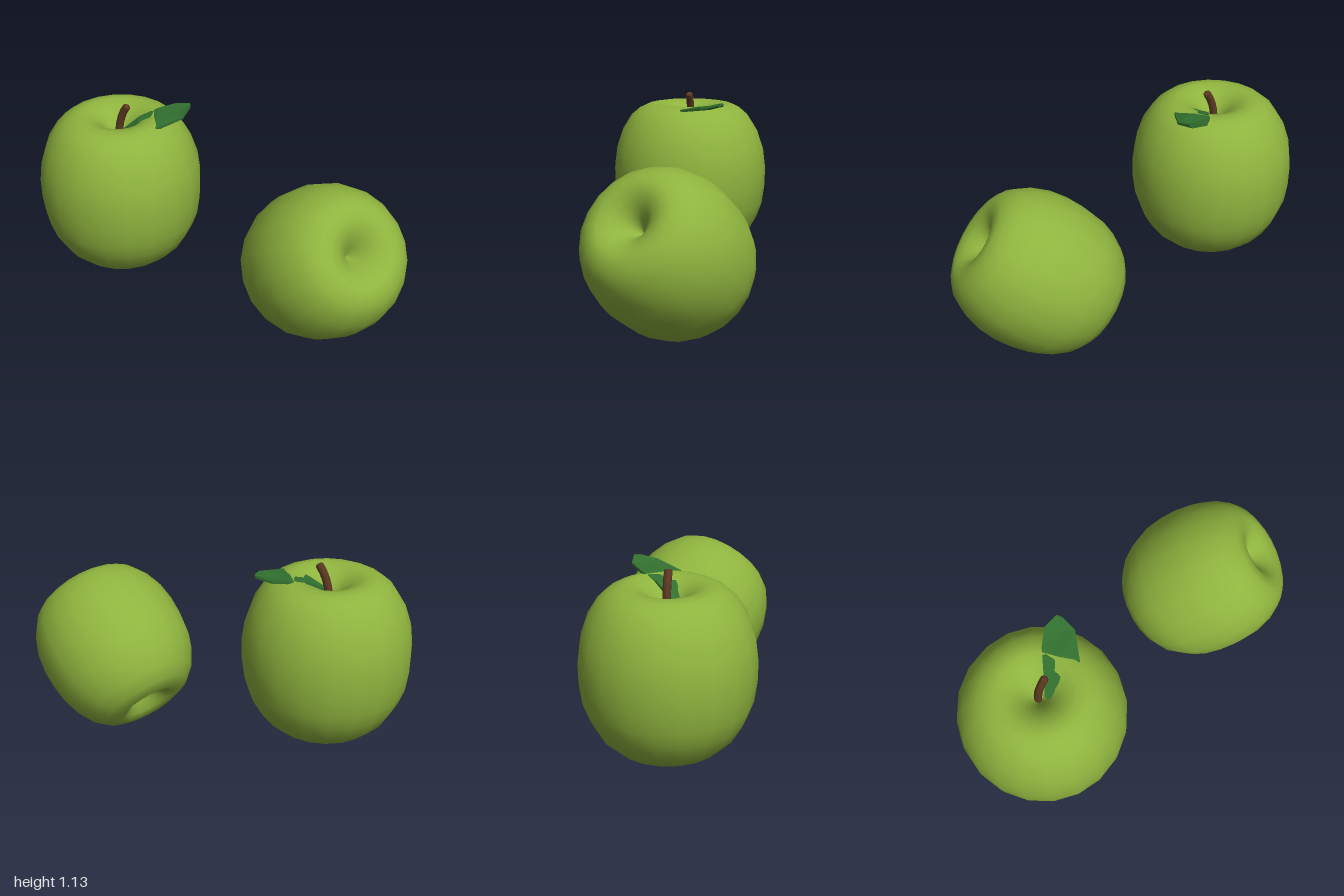
import * as THREE from 'three';

const skin = new THREE.MeshStandardMaterial({ color: 0x8fb43e });
skin.name = 'apple green';
const bark = new THREE.MeshStandardMaterial({ color: 0x5e3a22 });
bark.name = 'stem brown';
const foliage = new THREE.MeshStandardMaterial({ color: 0x32702f, flatShading: true, side: THREE.DoubleSide });
foliage.name = 'leaf green';

// Apple body: lathe with a deep stem hollow and a shallow hollow below
function makeApple(name) {
  const profile = [
    [0, -0.325], [0.05, -0.34], [0.095, -0.38], [0.14, -0.42], [0.2, -0.44],
    [0.28, -0.41], [0.35, -0.345], [0.405, -0.25], [0.437, -0.16], [0.452, -0.05],
    [0.454, 0.06], [0.44, 0.17], [0.403, 0.28], [0.35, 0.365], [0.3, 0.408],
    [0.25, 0.432], [0.2, 0.44], [0.14, 0.42], [0.09, 0.38], [0.05, 0.335],
    [0.02, 0.29], [0, 0.27],
  ].map(([r, y]) => new THREE.Vector2(r, y));
  const segments = 20;
  const apple = new THREE.Mesh(new THREE.LatheGeometry(profile, segments, Math.PI / segments), skin);
  apple.name = name;
  return apple;
}

// Bent stem rising from the hollow, with a flat cap
function makeStem() {
  const curve = new THREE.CatmullRomCurve3([
    new THREE.Vector3(-0.555, 0.89, -0.28),
    new THREE.Vector3(-0.545, 1.0, -0.278),
    new THREE.Vector3(-0.525, 1.08, -0.268),
    new THREE.Vector3(-0.498, 1.135, -0.252),
  ]);
  const stem = new THREE.Group();
  stem.name = 'stem';
  const shaft = new THREE.Mesh(new THREE.TubeGeometry(curve, 6, 0.022, 7), bark);
  shaft.name = 'stemShaft';
  const cap = new THREE.Mesh(new THREE.SphereGeometry(0.022, 7, 4), bark);
  cap.name = 'stemTip';
  cap.scale.y = 0.4;
  cap.position.copy(curve.getPoint(1));
  cap.quaternion.setFromUnitVectors(new THREE.Vector3(0, 1, 0), curve.getTangent(1));
  stem.add(shaft, cap);
  return stem;
}

// Leaf: front edge, midrib and back edge at each cross-section
function makeLeaf() {
  const sections = [
    [[-0.545, 0.99, -0.205], [-0.55, 0.985, -0.225], [-0.54, 0.99, -0.245]],
    [[-0.44, 1.06, -0.185], [-0.44, 1.055, -0.24], [-0.43, 1.06, -0.29]],
    [[-0.33, 1.07, -0.128], [-0.33, 1.084, -0.235], [-0.33, 1.086, -0.335]],
    [[-0.19, 1.098, -0.205], [-0.22, 1.092, -0.27], [-0.23, 1.105, -0.357]],
    [[-0.155, 1.118, -0.285], [-0.15, 1.118, -0.305], [-0.155, 1.122, -0.32]],
  ];
  const thickness = 0.014;
  const positions = [];
  const index = [];
  // Each section is a closed ring: top row out, bottom row back
  for (const [front, mid, back] of sections) {
    positions.push(...front, ...mid, ...back);
    for (const [x, y, z] of [back, mid, front]) positions.push(x, y - thickness, z);
  }
  for (let i = 0; i < sections.length - 1; i++) {
    for (let j = 0; j < 6; j++) {
      const a = i * 6 + j, b = i * 6 + (j + 1) % 6;
      index.push(a, a + 6, b, b, a + 6, b + 6);
    }
  }
  // End caps
  const last = (sections.length - 1) * 6;
  for (let j = 1; j < 5; j++) {
    index.push(0, j, j + 1, last, last + j + 1, last + j);
  }
  const geometry = new THREE.BufferGeometry();
  geometry.setAttribute('position', new THREE.Float32BufferAttribute(positions, 3));
  geometry.setIndex(index);
  geometry.computeVertexNormals();
  const leaf = new THREE.Mesh(geometry, foliage);
  leaf.name = 'leaf';
  return leaf;
}

export function createModel() {
  const model = new THREE.Group();
  model.name = 'twoApples';

  // Upright apple with stem and leaf
  const upright = makeApple('uprightApple');
  upright.position.set(-0.55, 0.64, -0.275);

  // Smaller apple lying tilted towards the front left
  const tilted = makeApple('tiltedApple');
  tilted.scale.setScalar(0.925);
  tilted.position.set(0.56, 0.465, 0.265);
  tilted.quaternion.setFromUnitVectors(
    new THREE.Vector3(0, 1, 0),
    new THREE.Vector3(0.42, 0.6, 0.68).normalize(),
  );

  model.add(upright, makeStem(), makeLeaf(), tilted);
  return model;
}
